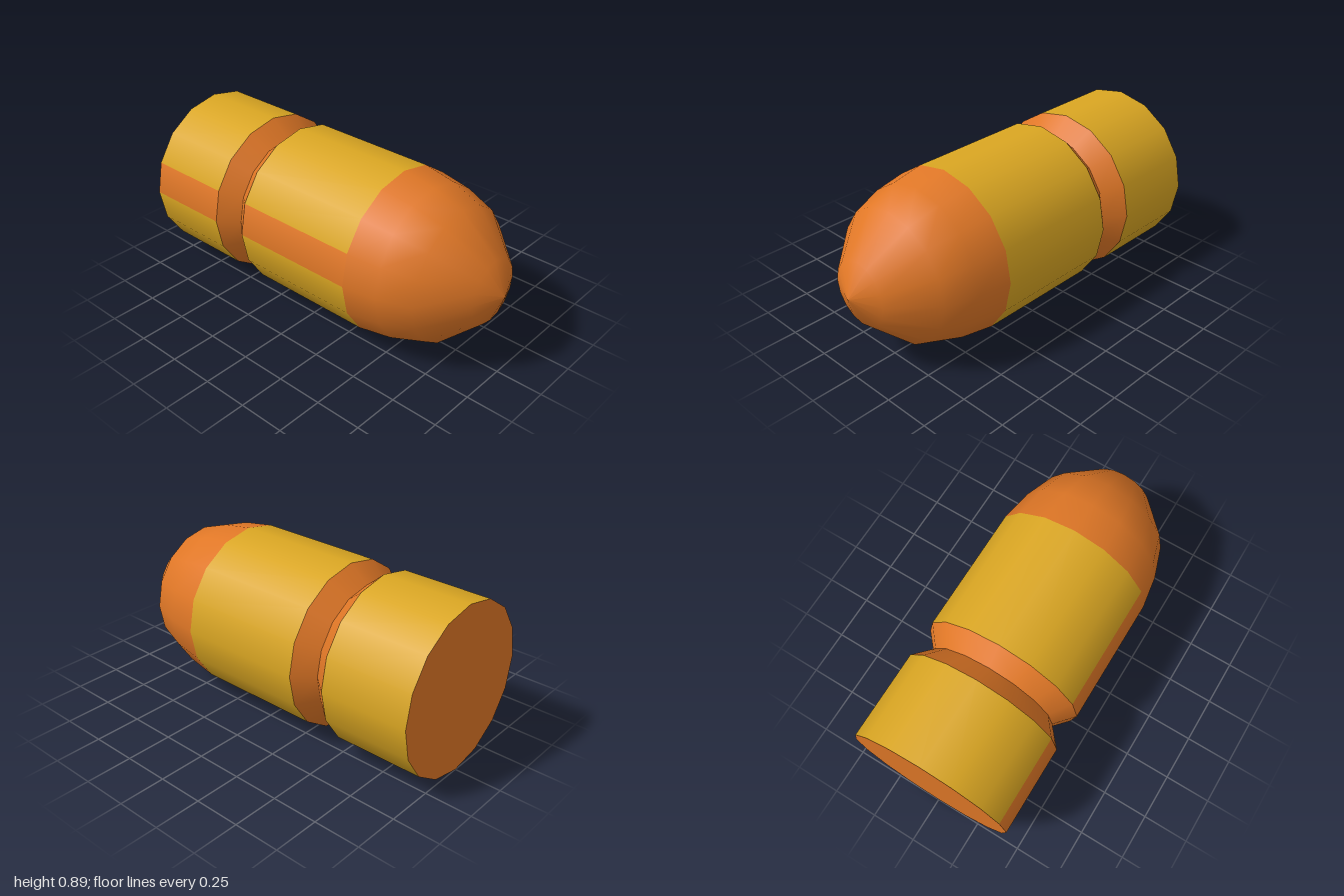
import * as THREE from 'three';

const R = 0.447;      // body radius, also the axis height
const SIDES = 16;
const STEP = (Math.PI * 2) / SIDES;

export function createModel() {
  const group = new THREE.Group();
  group.name = 'roundNosedCapsule';

  const orange = new THREE.MeshStandardMaterial({ color: 0xe07726 });
  orange.name = 'orange';
  const gold = new THREE.MeshStandardMaterial({ color: 0xdaa622 });
  gold.name = 'gold';

  // Surface of revolution along z; profile is [radius, z] from back to front
  function turned(name, profile, material, firstSide = 0, sides = SIDES) {
    const points = profile.map(([r, z]) => new THREE.Vector2(r, z));
    const geometry = new THREE.LatheGeometry(points, sides, firstSide * STEP, sides * STEP);
    geometry.rotateX(Math.PI / 2);
    const mesh = new THREE.Mesh(geometry, material);
    mesh.name = name;
    mesh.position.y = R;
    group.add(mesh);
  }

  // Straight casing sections: gold with a single orange facet on the -x side
  function casing(name, back, front) {
    const profile = [[R, back], [R, front]];
    turned(name, profile, gold, 12, SIDES - 1);
    turned(name + 'Stripe', profile, orange, 11, 1);
  }
  casing('rearCasing', -1, -0.52);
  casing('frontCasing', -0.32, 0.38);

  // V-shaped groove, one cone for each wall to keep the edges sharp
  turned('grooveRearWall', [[R, -0.52], [0.36, -0.42]], orange);
  turned('grooveFrontWall', [[0.36, -0.42], [R, -0.32]], orange);

  // Rounded nose
  turned('nose', [[R, 0.38], [0.418, 0.56], [0.36, 0.73], [0.17, 0.93], [0, 1]], orange);

  // Flat back end
  const cap = new THREE.Mesh(new THREE.CircleGeometry(R, SIDES), orange);
  cap.name = 'backCap';
  cap.rotation.y = Math.PI;
  cap.position.set(0, R, -1);
  group.add(cap);

  return group;
}
